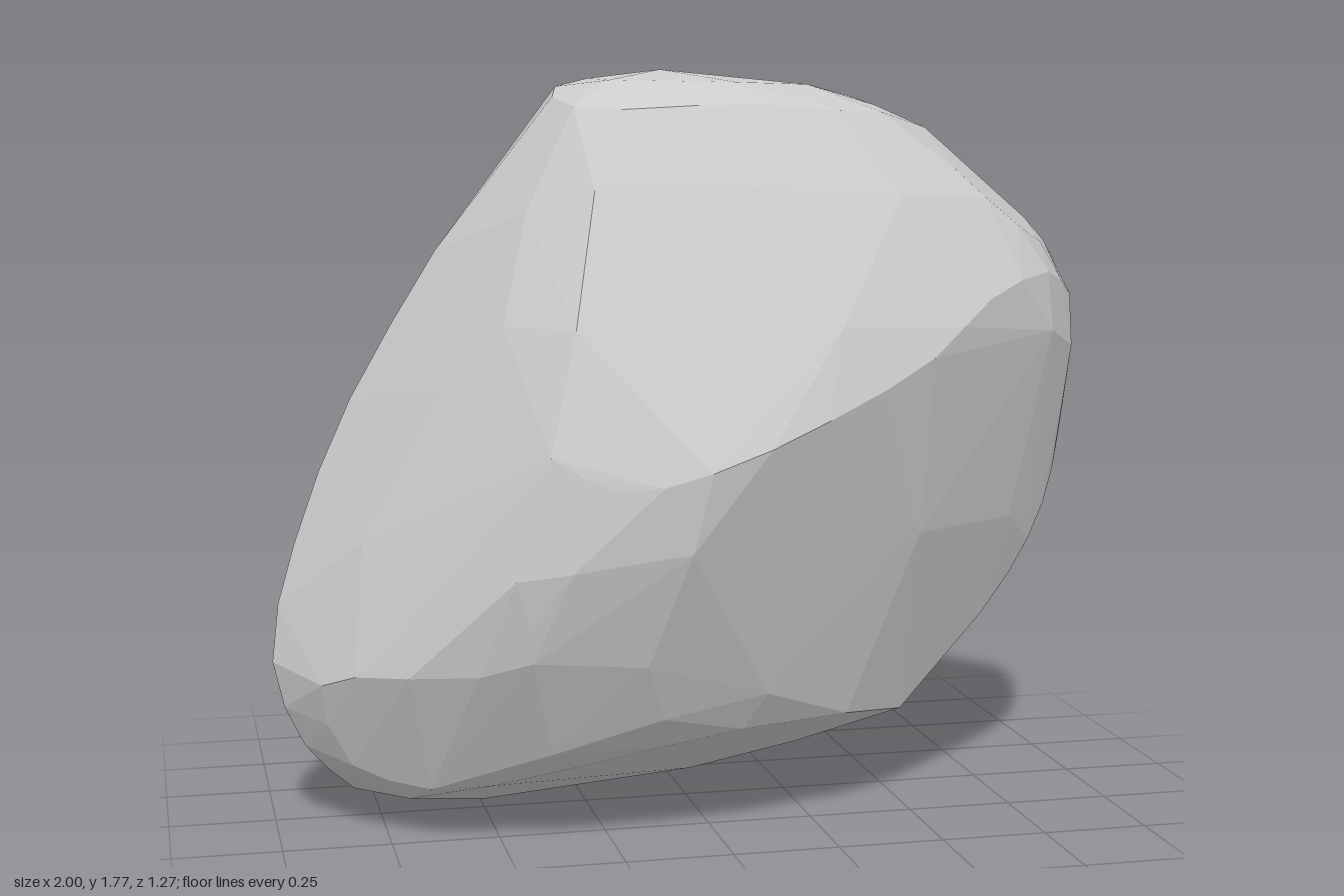
import * as THREE from 'three';
import { ConvexGeometry } from 'three/addons/geometries/ConvexGeometry.js';

const corners = points => points.map(p => new THREE.Vector3(...p));

// Sample a ridge running through a few key points
function ridge(points, samples, closed = false) {
  return new THREE.CatmullRomCurve3(corners(points), closed).getPoints(samples);
}

export function createModel() {
  const group = new THREE.Group();
  group.name = 'boulder';

  // Narrow crown, rounded over towards the front
  const crown = ridge([
    [-0.3, 1.73, -0.08], [-0.05, 1.765, -0.13], [0.4, 1.715, -0.1],
    [0.45, 1.67, 0.12], [0.1, 1.69, 0.205], [-0.28, 1.68, 0.195],
  ], 14, true);
  const crownTop = corners([
    [-0.05, 1.77, -0.06], [0.3, 1.735, 0.0], [-0.2, 1.745, 0.08], [0.1, 1.74, 0.1],
  ]);

  // Gentle swell of the upper front and the left front
  const frontSwell = corners([
    [-0.28, 1.5, 0.32], [0.1, 1.5, 0.34], [0.45, 1.48, 0.285], [0.25, 1.2, 0.5],
    [-0.35, 1.2, 0.465], [-0.42, 1.45, 0.225], [-0.49, 1.2, 0.32],
    [-0.62, 1.05, 0.23], [-0.8, 0.7, 0.19],
  ]);

  // Front ridge between the upper face and the undercut, out to the right tip
  const frontRidge = ridge([
    [-0.42, 0.93, 0.54], [-0.28, 0.86, 0.595], [-0.08, 0.9, 0.635], [0.2, 1.0, 0.575],
    [0.48, 1.12, 0.455], [0.65, 1.24, 0.345], [0.85, 1.29, 0.19], [0.98, 1.22, 0.0],
  ], 14);

  // Shoulder sloping from the crown to the right tip
  const shoulder = ridge([
    [0.62, 1.63, -0.07], [0.62, 1.54, 0.15], [0.78, 1.4, 0.17],
    [0.92, 1.35, -0.03], [0.82, 1.46, -0.1], [0.68, 1.42, -0.27],
  ], 10);

  // Right edge from the tip down to the base
  const rightEdge = ridge([
    [0.98, 1.24, -0.1], [1.0, 1.1, -0.08], [0.975, 0.88, -0.04],
    [0.91, 0.68, 0.01], [0.78, 0.48, 0.05], [0.5, 0.23, 0.15],
  ], 12);

  // Back ridge, from the right tip around to the base on the left
  const backRidge = ridge([
    [0.92, 1.17, -0.2], [0.8, 1.17, -0.31], [0.55, 1.1, -0.515],
    [0.28, 0.97, -0.605], [0.0, 0.84, -0.635], [-0.33, 0.57, -0.55],
    [-0.57, 0.28, -0.42], [-0.69, 0.1, -0.29],
  ], 16);

  // Facets of the back, above its ridge, and the slight swell below it
  const backFacets = corners([
    [0.55, 1.2, -0.5], [0.2, 1.08, -0.61], [0.25, 1.27, -0.5], [0.15, 1.58, -0.3],
    [0.0, 0.91, -0.638], [-0.2, 0.9, -0.62], [-0.2, 1.09, -0.53], [-0.5, 1.0, -0.39],
    [-0.66, 1.08, -0.23], [-0.55, 0.6, -0.5], [-0.69, 0.45, -0.41],
    [-0.8, 0.3, -0.315], [-0.9, 0.32, -0.2], [0.28, 0.52, -0.265],
  ]);

  // Left edge from the crown to the left tip
  const leftEdge = ridge([
    [-0.6, 1.35, -0.01], [-0.8, 1.0, -0.06], [-0.94, 0.66, -0.04],
    [-1.0, 0.39, 0.02], [-0.93, 0.19, 0.04], [-0.81, 0.055, -0.04],
  ], 10);

  // Rounded lower left front
  const lowerLeft = ridge([
    [-0.5, 0.66, 0.54], [-0.46, 0.47, 0.515], [-0.72, 0.42, 0.385], [-0.9, 0.37, 0.2],
    [-0.83, 0.17, 0.17], [-0.66, 0.13, 0.27],
  ], 10);

  // Undercut facets of the front
  const undercut = corners([
    [-0.12, 0.72, 0.615], [-0.38, 0.68, 0.58], [-0.2, 0.45, 0.52], [-0.15, 0.31, 0.45],
    [-0.4, 0.23, 0.4], [0.48, 0.7, 0.36], [0.1, 0.35, 0.42], [0.4, 0.82, 0.43],
    [0.78, 0.69, 0.135], [0.86, 1.15, 0.2], [0.96, 1.1, 0.07],
  ]);

  // Sloping, slightly rounded underside
  const underside = ridge([
    [0.5, 0.23, 0.16], [0.05, 0.26, 0.38], [-0.3, 0.19, 0.35], [-0.7, 0.085, 0.18],
    [-0.72, 0.05, -0.23], [-0.6, 0.005, -0.2], [-0.25, 0.1, -0.12], [0.1, 0.11, -0.03],
  ], 16, true);
  const belly = corners([
    [-0.6, 0.0, -0.13], [-0.72, 0.02, -0.1], [-0.5, 0.02, 0.0], [-0.2, 0.05, 0.01],
    [0.0, 0.08, 0.05], [0.25, 0.145, 0.1],
  ]);

  const points = [
    crown, crownTop, frontSwell, frontRidge, shoulder, rightEdge, backRidge,
    backFacets, leftEdge, lowerLeft, undercut, underside, belly,
  ].flat();

  const rock = new THREE.Mesh(
    new ConvexGeometry(points),
    new THREE.MeshStandardMaterial({ color: 0xcccccc, flatShading: true }),
  );
  rock.name = 'rock';
  group.add(rock);
  return group;
}
